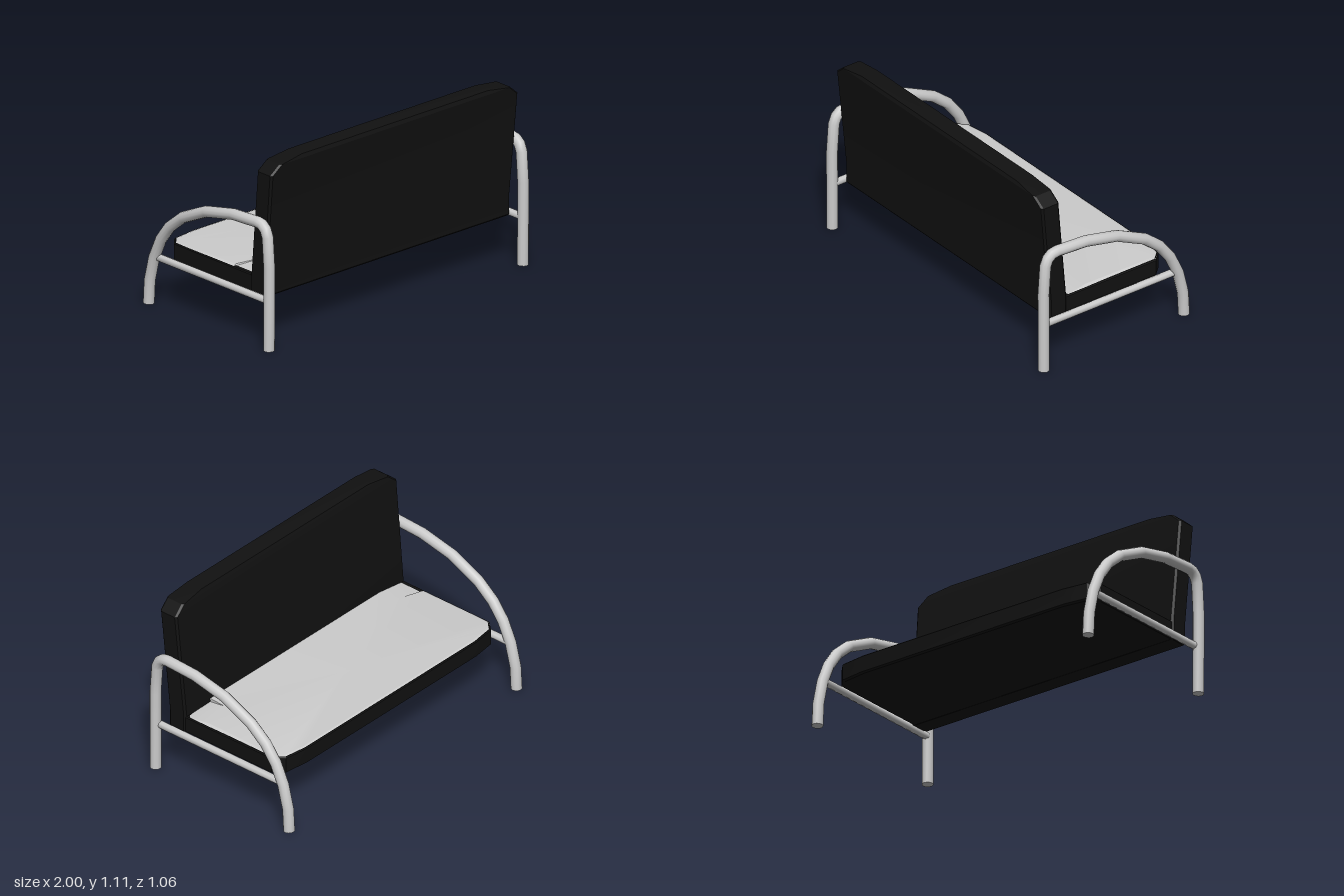
import * as THREE from 'three';
import { toCreasedNormals } from 'three/addons/utils/BufferGeometryUtils.js';

const BLACK = 0x111111;
const GREY = 0xcccccc;

// Skin between rings of [x, y, z] (counterclockwise about the loft direction), with end caps
function loft(name, rings, color, crease) {
  const pos = [];
  const tri = (a, b, c) => pos.push(...a, ...b, ...c);
  const n = rings[0].length;
  for (let r = 0; r < rings.length - 1; r++) {
    const a = rings[r], b = rings[r + 1];
    for (let i = 0; i < n; i++) {
      const j = (i + 1) % n;
      tri(a[i], a[j], b[j]);
      tri(a[i], b[j], b[i]);
    }
  }
  const centre = (ring) => [0, 1, 2].map((k) => ring.reduce((s, p) => s + p[k], 0) / n);
  const first = rings[0], last = rings[rings.length - 1];
  const c0 = centre(first), c1 = centre(last);
  for (let i = 0; i < n; i++) {
    const j = (i + 1) % n;
    tri(c0, first[j], first[i]);
    tri(c1, last[i], last[j]);
  }
  const geometry = new THREE.BufferGeometry();
  geometry.setAttribute('position', new THREE.Float32BufferAttribute(pos, 3));
  const mesh = new THREE.Mesh(toCreasedNormals(geometry, crease), new THREE.MeshStandardMaterial({ color }));
  mesh.name = name;
  return mesh;
}

// Mirror a half outline of [x, y, z], running along +x, into a full ring
const mirrored = (half) => [...half, ...half.map(([x, y, z]) => [-x, y, z]).reverse()];

// Mitred round tube along [z, y] points in the plane at x
function tube(name, path, x, radius, sides) {
  const pts = path.map(([z, y]) => new THREE.Vector2(z, y));
  const rings = pts.map((p, i) => {
    const t = new THREE.Vector2();
    if (i > 0) t.add(p.clone().sub(pts[i - 1]).normalize());
    if (i < pts.length - 1) t.add(pts[i + 1].clone().sub(p).normalize());
    t.normalize();
    return Array.from({ length: sides }, (_, k) => {
      const a = (k / sides) * Math.PI * 2;
      const v = Math.sin(a) * radius;
      return [x + Math.cos(a) * radius, p.y + v * t.x, p.x - v * t.y];
    });
  });
  return loft(name, rings, GREY, 0.8);
}

function createBackrest() {
  // Each row: height, half width, front z, rear z; leans back above the seat
  const rows = [
    [0.287, 0.92, 0.313, 0.418],
    [0.297, 0.932, 0.303, 0.427],
    [0.4, 0.932, 0.303, 0.427],
    [1.035, 0.94, 0.364, 0.487],
    [1.09, 0.875, 0.37, 0.493],
    [1.112, 0.72, 0.378, 0.486],
  ];
  const b = 0.012;
  const rings = rows.map(([y, w, front, rear]) => mirrored([
    [w - b, y, rear], [w, y, rear - b], [w, y, front + b], [w - b, y, front],
  ]));
  return loft('backrest', rings, BLACK, 0.3);
}

function createSeat() {
  const outline = [[0.925, 0.42], [0.925, -0.33], [0.87, -0.39], [0.72, -0.41]];
  const ring = (y, inset) => mirrored(outline.map(([x, z]) => [x - inset, y, z < 0 ? z + inset : z]));
  return loft('seatBase', [ring(0.288, 0.01), ring(0.297, 0), ring(0.39, 0), ring(0.396, 0.005)], BLACK, 0.3);
}

function createSeatPanel() {
  // Low rim and gently raised top, highest at the rear
  const y = 0.394;
  const rim = [[0.72, y, 0.33], [0.92, y, 0.31], [0.92, y, 0.15],
    [0.92, y, -0.33], [0.866, y, -0.386], [0.72, y, -0.406]];
  const top = [[0.72, 0.42, 0.33], [0.72, 0.412, 0.2], [0.9, 0.405, 0.15],
    [0.9, 0.4, -0.32], [0.855, 0.4, -0.37], [0.72, 0.4, -0.39]];
  return loft('seatPanel', [mirrored(rim), mirrored(top)], GREY, 0.3);
}

function createSideFrame(side) {
  const group = new THREE.Group();
  group.name = side > 0 ? 'leftFrame' : 'rightFrame';
  // Upright, bend, and arm curving down to the foot: [z, y]
  const hoop = [
    [0.494, 0.003], [0.496, 0.5], [0.483, 0.677], [0.466, 0.718], [0.438, 0.74],
    [0.402, 0.746], [0.2, 0.735], [-0.02, 0.687], [-0.215, 0.595], [-0.322, 0.508],
    [-0.396, 0.41], [-0.452, 0.288], [-0.488, 0.143], [-0.496, 0.003],
  ];
  group.add(tube('armHoop', hoop, side * 0.965, 0.033, 12));
  group.add(tube('seatRail', [[0.48, 0.293], [-0.45, 0.293]], side * 0.957, 0.022, 8));
  return group;
}

export function createModel() {
  const sofa = new THREE.Group();
  sofa.name = 'sofa';
  sofa.add(createBackrest(), createSeat(), createSeatPanel());
  for (const side of [-1, 1]) sofa.add(createSideFrame(side));
  return sofa;
}
